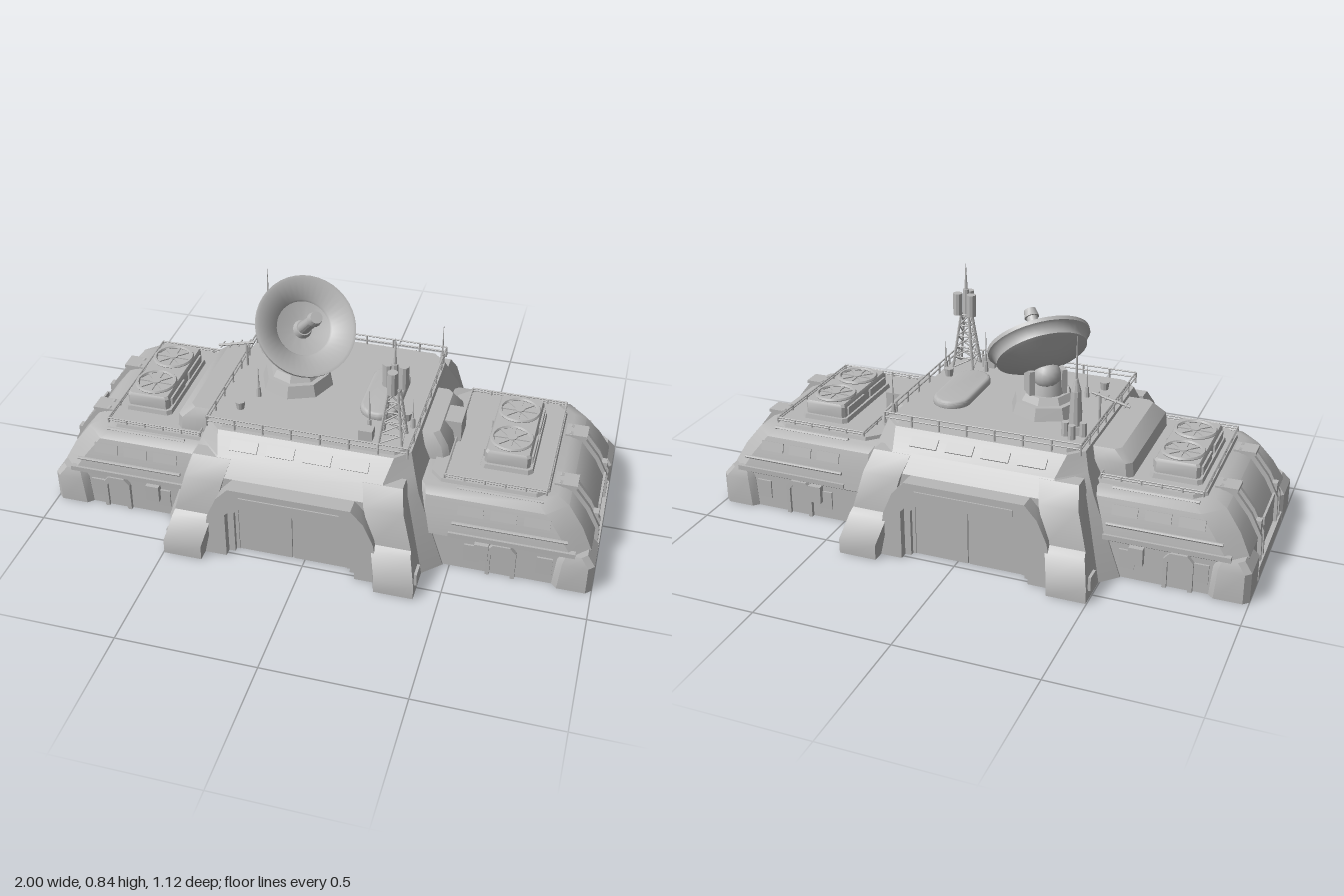
import * as THREE from 'three';
import { toCreasedNormals } from 'three/addons/utils/BufferGeometryUtils.js';

const paint = new THREE.MeshStandardMaterial({ color: 0xb8b8b8, side: THREE.DoubleSide });
paint.name = 'plain grey';
const V = (x, y, z) => new THREE.Vector3(x, y, z);
function place(parent, name, object, x = 0, y = 0, z = 0, rx = 0, ry = 0) {
  object.name = name;
  object.position.set(x, y, z);
  object.rotation.set(rx, ry, 0);
  parent.add(object);
  return object;
}
const group = (p, name, ...at) => place(p, name, new THREE.Group(), ...at);
const add = (p, name, geo, ...at) => place(p, name, new THREE.Mesh(toCreasedNormals(geo, 0.6), paint), ...at);
const box = (p, name, w, h, d, ...at) => add(p, name, new THREE.BoxGeometry(w, h, d), ...at);
const cyl = (p, name, rt, rb, h, x, y, z, n = 16) => add(p, name, new THREE.CylinderGeometry(rt, rb, h, n), x, y + h / 2, z);
const shape = pts => new THREE.Shape(pts.map(([x, y]) => new THREE.Vector2(x, y)));
const extrude = (pts, depth) => new THREE.ExtrudeGeometry(shape(pts), { depth, bevelEnabled: false });
// Doorway-like band: left half of the outer and inner outlines, mirrored
function arch(outer, inner, depth) {
  const flip = pts => pts.map(([x, y]) => [-x, y]).reverse();
  return extrude([...outer, ...flip(outer), ...inner.map(([x, y]) => [-x, y]), ...inner.slice().reverse()], depth);
}
// Round bar between two points
function bar(p, name, a, b, r, r2 = r) {
  const m = add(p, name, new THREE.CylinderGeometry(r2, r, a.distanceTo(b), 6), (a.x + b.x) / 2, (a.y + b.y) / 2, (a.z + b.z) / 2);
  m.quaternion.setFromUnitVectors(V(0, 1, 0), b.clone().sub(a).normalize());
}
// Shell through chamfered rectangles; level = [y, x0, x1, half depth, chamfer]; open below, closed on top
function loft(levels) {
  const pos = [];
  const rings = levels.map(([y, a, b, h, c]) => {
    const x0 = Math.min(a, b), x1 = Math.max(a, b);
    return [[x0 + c, h], [x1 - c, h], [x1, h - c], [x1, c - h], [x1 - c, -h], [x0 + c, -h], [x0, c - h], [x0, h - c]]
      .map(([x, z]) => [x, y, z]);
  });
  for (let i = 0; i + 1 < rings.length; i++) for (let k = 0; k < 8; k++) {
    const a = rings[i][k], b = rings[i][(k + 1) % 8], c = rings[i + 1][(k + 1) % 8], d = rings[i + 1][k];
    pos.push(...a, ...b, ...c, ...a, ...c, ...d);
  }
  const top = rings[rings.length - 1];
  for (let k = 1; k < 7; k++) pos.push(...top[0], ...top[k], ...top[k + 1]);
  const g = new THREE.BufferGeometry();
  g.setAttribute('position', new THREE.Float32BufferAttribute(pos, 3));
  return g;
}
// Guard rail with posts round a rectangle
function railing(p, x0, x1, z, y, h, n) {
  const g = group(p, 'railing');
  const c = [V(x0, y, -z), V(x1, y, -z), V(x1, y, z), V(x0, y, z)];
  c.forEach((a, i) => {
    const b = c[(i + 1) % 4];
    for (const f of [0.55, 1]) bar(g, 'rail', a.clone().setY(y + h * f), b.clone().setY(y + h * f), 0.003);
    for (let k = 0; k < n; k++) {
      const q = a.clone().lerp(b, k / n);
      bar(g, 'railPost', q, q.clone().setY(y + h), 0.004);
    }
  });
}

// Corner buttress, leaning inward as it rises
function buttress(k) {
  const geo = extrude([[-0.38, 0], [-0.56, 0], [-0.56, 0.055], [-0.512, 0.14], [-0.492, 0.155],
    [-0.47, 0.29], [-0.415, 0.355], [-0.36, 0.355]], 0.14);
  geo.rotateY(Math.PI / 2).translate(k * 0.385 - 0.07, 0, 0);
  const p = geo.attributes.position;
  for (let i = 0; i < p.count; i++) p.setX(i, p.getX(i) - k * 0.26 * Math.max(0, p.getY(i) - 0.055));
  return geo;
}
function hall(root) {
  const g = group(root, 'mainHall');
  add(g, 'hallHull', loft([[0, -0.555, 0.476, 0.46, 0.1], [0.3, -0.45, 0.378, 0.455, 0.1],
    [0.36, -0.42, 0.355, 0.41, 0.09], [0.42, -0.4, 0.335, 0.34, 0.05]]));
  add(g, 'roofDeck', loft([[0.415, -0.385, 0.325, 0.325, 0.04], [0.43, -0.38, 0.32, 0.32, 0.04]]));
  railing(g, -0.395, 0.33, 0.33, 0.42, 0.042, 7);
  // Front and back are alike
  for (const s of [0, 1]) {
    const f = group(g, s ? 'backEntrance' : 'frontEntrance', -0.042, 0, 0, 0, s * Math.PI);
    const opening = [[-0.235, 0], [-0.235, 0.185], [-0.195, 0.225]];
    add(f, 'doorSurround', arch([[-0.33, 0], [-0.3, 0.17], [-0.265, 0.25], [-0.22, 0.3]], opening, 0.085), 0, 0, 0.43);
    add(f, 'innerDoorFrame', arch(opening, [[-0.212, 0], [-0.212, 0.175], [-0.18, 0.207]], 0.03), 0, 0, 0.455);
    box(f, 'surroundPanel', 0.36, 0.025, 0.008, 0, 0.262, 0.516);
    for (const k of [-1, 1]) {
      box(f, 'doorLeaf', 0.195, 0.195, 0.008, k * 0.101, 0.1, 0.464);
      box(f, 'doorEdge', 0.012, 0.195, 0.012, k * 0.205, 0.1, 0.465);
      add(f, 'buttress', buttress(k));
      box(f, 'footHatch', 0.01, 0.05, 0.055, k * 0.453, 0.05, 0.49);
    }
    // Sloped clerestory windows
    for (let i = 0; i < 4; i++) box(f, 'roofWindow', 0.1, 0.04, 0.009, -0.2 + i * 0.133, 0.39, 0.377, -0.86);
  }
  // Housings on the two sides
  add(g, 'rightHousing', loft([[0.28, -0.555, -0.4, 0.24, 0.02], [0.37, -0.545, -0.39, 0.24, 0.02], [0.41, -0.5, -0.38, 0.22, 0.02]]));
  add(g, 'leftHousing', loft([[0.28, 0.34, 0.45, 0.16, 0.02], [0.36, 0.33, 0.435, 0.16, 0.02], [0.405, 0.31, 0.4, 0.14, 0.02]]));
  box(g, 'leftDuct', 0.12, 0.1, 0.1, 0.405, 0.35, 0);
}

function wing(root, s) {
  const g = group(root, s > 0 ? 'leftWing' : 'rightWing');
  add(g, 'wingHull', loft([[0, s * 0.33, s * 0.985, 0.355, 0.05], [0.13, s * 0.33, s * 0.978, 0.352, 0.05],
    [0.14, s * 0.33, s * 0.98, 0.366, 0.06], [0.215, s * 0.33, s * 0.94, 0.355, 0.07],
    [0.285, s * 0.33, s * 0.885, 0.335, 0.07], [0.305, s * 0.33, s * 0.84, 0.305, 0.06]]));
  add(g, 'wingRoof', loft([[0.3, s * 0.4, s * 0.815, 0.28, 0.04], [0.318, s * 0.4, s * 0.81, 0.275, 0.04]]));
  railing(g, s * 0.45, s * 0.805, 0.27, 0.315, 0.02, 5);
  box(g, 'endSill', 0.04, 0.05, 0.42, s * 0.98, 0.025, 0);
  box(g, 'endPanel', 0.008, 0.11, 0.19, s * 0.981, 0.125, 0.005);
  // End struts following the wall and shoulder
  const strut = extrude([[0.96, 0.05], [0.995, 0.05], [0.992, 0.145], [0.952, 0.225], [0.895, 0.298], [0.84, 0.315],
    [0.82, 0.3], [0.88, 0.275], [0.93, 0.2]], 0.016);
  for (const z of [-0.138, 0.157]) {
    for (const dz of [-0.022, 0.022]) add(g, 'endStrut', strut, 0, 0, z + dz - s * 0.008, 0, s > 0 ? 0 : Math.PI);
    box(g, 'strutPlate', 0.02, 0.15, 0.03, s * 0.974, 0.12, z);
    box(g, 'strutHead', 0.08, 0.012, 0.07, s * 0.862, 0.306, z);
  }
  for (const k of [-1, 1]) {
    add(g, 'cornerFoot', loft([[0, s * 0.86, s, 0.083, 0.02], [0.11, s * 0.87, s, 0.083, 0.02],
      [0.145, s * 0.88, s * 0.972, 0.07, 0.02]]), 0, 0, k * 0.292);
    bar(g, 'ledgePipe', V(s * 0.5, 0.2, k * 0.362), V(s * 0.9, 0.2, k * 0.362), 0.006);
    bar(g, 'roofPipe', V(s * 0.5, 0.306, k * 0.296), V(s * 0.8, 0.306, k * 0.296), 0.007);
    box(g, 'ledge', 0.44, 0.018, 0.02, s * 0.71, 0.152, k * 0.362);
    // Door with raised surround, wall and shoulder panels
    const dx = s > 0 ? 0.68 : -0.755;
    add(g, 'sideDoorFrame', arch([[-0.052, 0], [-0.052, 0.11], [-0.03, 0.135]],
      [[-0.037, 0], [-0.037, 0.1], [-0.022, 0.118]], 0.02), dx, 0, k * 0.359 - 0.01);
    box(g, 'sideDoor', 0.074, 0.115, 0.008, dx, 0.058, k * 0.354);
    for (const wx of [0.575, 0.83]) box(g, 'wallPanel', 0.055, 0.07, 0.009, s * wx, 0.075, k * 0.355);
    box(g, 'wallCabinet', 0.05, 0.065, 0.03, s * 0.61, 0.1, k * 0.362);
    for (let i = 0; i < 3; i++) box(g, 'upperPanel', 0.09, 0.036, 0.009, s * (0.56 + i * 0.115), 0.25, k * 0.345, -k * 0.28);
  }
  // Twin fan unit
  const fan = group(g, 'fanUnit', s > 0 ? 0.65 : -0.69, 0, -0.012);
  add(fan, 'fanPlinth', loft([[0.31, -0.095, 0.095, 0.195, 0.015], [0.335, -0.09, 0.09, 0.19, 0.015]]));
  add(fan, 'fanHousing', loft([[0.33, -0.08, 0.08, 0.18, 0.01], [0.375, -0.08, 0.08, 0.18, 0.01], [0.385, -0.074, 0.074, 0.174, 0.01]]));
  for (const z of [-0.088, 0.088]) {
    add(fan, 'fanRing', new THREE.TorusGeometry(0.07, 0.008, 6, 28), 0, 0.388, z, Math.PI / 2);
    cyl(fan, 'fanHub', 0.018, 0.018, 0.012, 0, 0.383, z);
    for (let i = 0; i < 4; i++) box(fan, 'fanBlade', 0.13, 0.004, 0.012, 0, 0.389, z, 0, i * Math.PI / 4);
    for (const x of [-0.083, 0.083]) box(fan, 'fanVent', 0.008, 0.03, 0.13, x, 0.355, z);
  }
}

function dish(root) {
  const g = group(root, 'satelliteDish', -0.165, 0, -0.02);
  cyl(g, 'dishBase', 0.12, 0.135, 0.045, 0, 0.43, 0, 8);
  cyl(g, 'dishStep', 0.085, 0.1, 0.025, 0, 0.475, 0, 8);
  cyl(g, 'dishNeck', 0.05, 0.062, 0.06, -0.005, 0.5, -0.01, 12);
  add(g, 'dishKnuckle', new THREE.SphereGeometry(0.052, 16, 12), -0.005, 0.565, -0.02);
  for (const k of [-1, 1]) box(g, 'yokeArm', 0.02, 0.09, 0.06, k * 0.05, 0.545, -0.02 - k * 0.03, 0, 0.7);
  const head = group(g, 'dishHead', 0.04, 0.675, 0.012);
  head.quaternion.setFromUnitVectors(V(0, 1, 0), V(0.47, 0.68, 0.56).normalize());
  const profile = [[0, -0.1], [0.06, -0.098], [0.1, -0.08], [0.15, -0.06], [0.165, -0.052], [0.165, -0.038], [0.176, -0.018],
    [0.187, -0.012], [0.187, 0.002], [0.176, 0.002], [0.105, -0.03], [0.1, -0.038], [0.05, -0.052], [0, -0.055]];
  add(head, 'dishBowl', new THREE.LatheGeometry(profile.map(([x, y]) => new THREE.Vector2(x, y)), 40));
  cyl(head, 'feedCollar', 0.028, 0.036, 0.025, 0, -0.055, 0);
  cyl(head, 'feedHorn', 0.02, 0.024, 0.14, 0, -0.04, 0);
  cyl(head, 'feedTip', 0.022, 0.027, 0.03, 0, 0.095, 0);
}

function tower(root) {
  const g = group(root, 'latticeTower', 0.258, 0, 0.243);
  const corner = (i, t) => V(0, 0.43 + 0.21 * t, 0.058 - 0.036 * t).applyAxisAngle(V(0, 1, 0), Math.PI / 4 + i * Math.PI / 2);
  for (let i = 0; i < 4; i++) {
    bar(g, 'towerLeg', corner(i, 0), corner(i, 1), 0.005);
    for (let k = 0; k < 5; k++) for (const from of [k, k + 1])
      bar(g, 'towerBrace', corner(i, from / 5), corner(i + 1, (k + 1) / 5), 0.003);
  }
  cyl(g, 'towerMast', 0.012, 0.015, 0.11, 0, 0.63, 0, 8);
  bar(g, 'towerSpike', V(0, 0.73, 0), V(0, 0.84, 0), 0.007, 0.001);
  for (let a = Math.PI / 2; a < 6; a += 2 * Math.PI / 3)
    cyl(g, 'towerDrum', 0.018, 0.018, 0.085, 0.032 * Math.cos(a), 0.64, 0.032 * Math.sin(a), 10);
  box(g, 'towerCabinet', 0.05, 0.04, 0.04, -0.09, 0.45, 0.02);
}

function deckEquipment(root) {
  const g = group(root, 'deckEquipment');
  // Long rounded hatch
  const hatch = new THREE.Shape().absarc(0, 0.09, 0.07, 0, Math.PI).absarc(0, -0.09, 0.07, Math.PI, 2 * Math.PI);
  const geo = new THREE.ExtrudeGeometry(hatch, { depth: 0.012, bevelSize: 0.012, bevelThickness: 0.012, bevelOffset: -0.012 });
  add(g, 'roundedHatch', geo, 0.172, 0.432, -0.005, -Math.PI / 2);
  // Tall pointed aerial
  cyl(g, 'aerialFoot', 0.03, 0.035, 0.03, -0.325, 0.43, -0.18, 8);
  cyl(g, 'aerialBody', 0.018, 0.024, 0.13, -0.325, 0.455, -0.18, 10);
  cyl(g, 'aerialCone', 0.006, 0.018, 0.045, -0.325, 0.585, -0.18, 10);
  bar(g, 'aerialTip', V(-0.325, 0.62, -0.18), V(-0.325, 0.785, -0.18), 0.005, 0.001);
  for (const [x, z] of [[-0.36, -0.2], [-0.3, -0.215], [-0.33, -0.235]]) cyl(g, 'aerialBox', 0.013, 0.015, 0.05, x, 0.43, z, 8);
  // Boom aerial reaching over the edge
  bar(g, 'boomPost', V(-0.375, 0.43, -0.062), V(-0.375, 0.53, -0.062), 0.005);
  bar(g, 'boom', V(-0.485, 0.5, -0.062), V(-0.345, 0.535, -0.062), 0.005);
  for (let i = 0; i < 4; i++) box(g, 'boomElement', 0.004, 0.004, 0.045, -0.47 + i * 0.035, 0.504 + i * 0.009, -0.062);
  // Whips and small vents
  for (const [x, z, h] of [[0.326, -0.27, 0.59], [0.165, 0.21, 0.59], [-0.27, 0.12, 0.55], [0.31, 0.16, 0.55]]) {
    cyl(g, 'whipBase', 0.007, 0.01, 0.04, x, 0.43, z, 8);
    bar(g, 'whip', V(x, 0.46, z), V(x, h, z), 0.004, 0.001);
  }
  for (const [x, z] of [[-0.31, 0.21], [0.16, 0.26], [0.28, 0.12]]) cyl(g, 'deckVent', 0.018, 0.014, 0.03, x, 0.43, z, 10);
}

export function createModel() {
  const root = new THREE.Group();
  root.name = 'outpostBase';
  hall(root);
  for (const s of [1, -1]) wing(root, s);
  for (const build of [dish, tower, deckEquipment]) build(root);
  return root;
}
